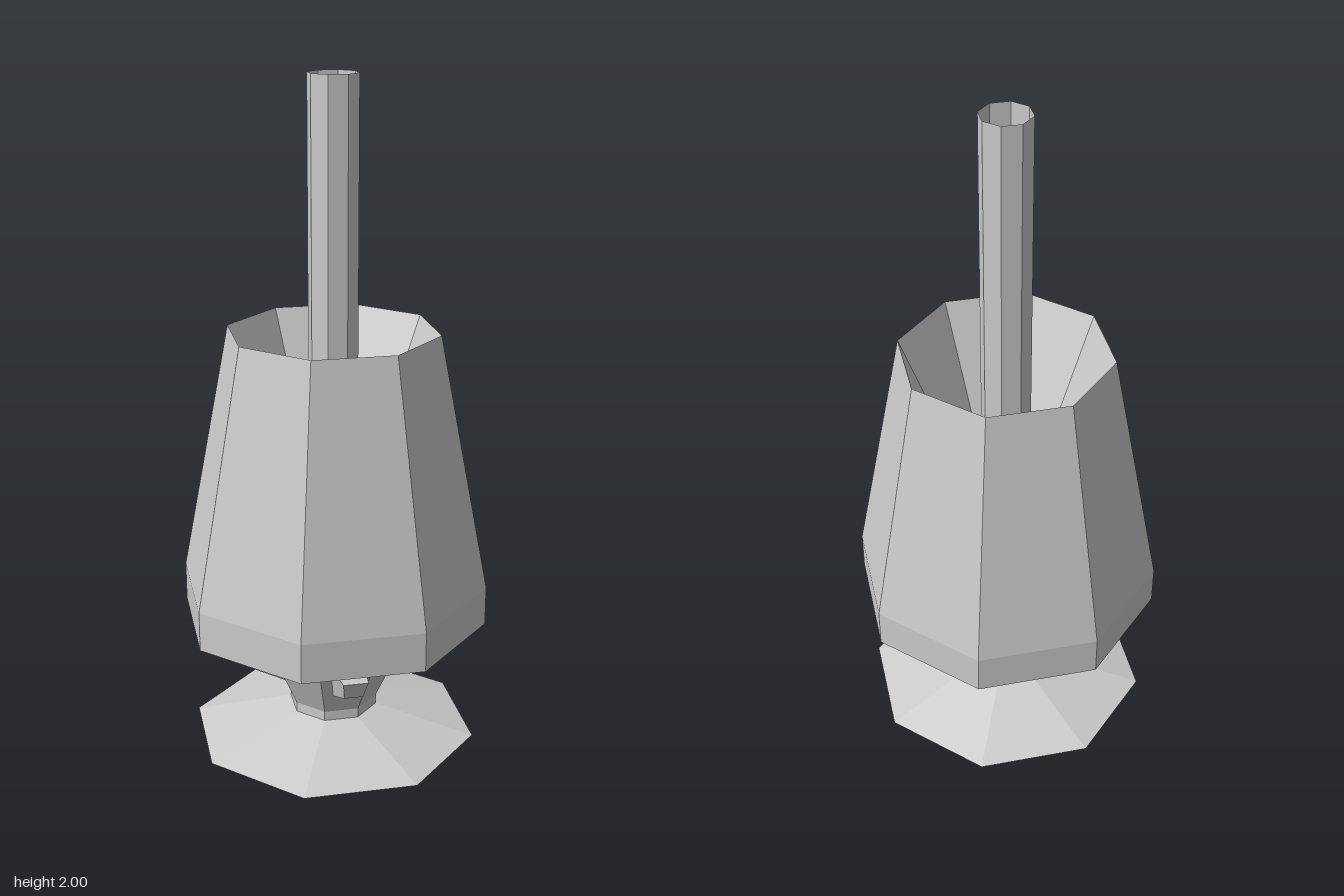
import * as THREE from 'three';

const SIDES = 8;
const material = new THREE.MeshStandardMaterial({
  color: 0xcccccc, flatShading: true, side: THREE.DoubleSide,
});

// Octagonal shell from [distance to flat, height] pairs, listed bottom to top, a flat facing +z
function octagonShell(name, profile) {
  const toCorner = 1 / Math.cos(Math.PI / SIDES);
  const points = profile.map(([r, y]) => new THREE.Vector2(r * toCorner, y));
  const mesh = new THREE.Mesh(new THREE.LatheGeometry(points, SIDES, Math.PI / SIDES), material);
  mesh.name = name;
  return mesh;
}

// Tapered fin pointing to +z: a box whose corners are moved to the root and tip sections
function finGeometry() {
  const geometry = new THREE.BoxGeometry(1, 1, 1);
  const p = geometry.attributes.position;
  const corners = {
    rootTop: [0.052, 0.31, 0.2], rootBottom: [0.031, 0.175, 0.148],
    tipTop: [0.037, 0.31, 0.33], tipBottom: [0.028, 0.25, 0.3],
  };
  for (let i = 0; i < p.count; i++) {
    const key = (p.getZ(i) > 0 ? 'tip' : 'root') + (p.getY(i) > 0 ? 'Top' : 'Bottom');
    const [halfWidth, y, z] = corners[key];
    p.setXYZ(i, Math.sign(p.getX(i)) * halfWidth, y, z);
  }
  geometry.computeVertexNormals();
  return geometry;
}

export function createModel() {
  const model = new THREE.Group();
  model.name = 'funnelStand';

  model.add(
    // Flared foot, open underneath
    octagonShell('base', [[0.405, 0], [0.125, 0.08]]),
    octagonShell('neck', [[0.125, 0.08], [0.125, 0.11], [0.227, 0.355]]),
    // Outer wall of the body
    octagonShell('body', [[0.227, 0.355], [0.43, 0.385], [0.43, 0.505], [0.29, 1.276]]),
    // Sunken top that runs down from the rim to the pipe
    octagonShell('funnel', [[0.29, 1.276], [0.068, 0.68]]),
    // Hollow pipe
    octagonShell('pipe', [[0.068, 0.68], [0.068, 2]]),
  );

  // Four fins around the neck
  const fins = new THREE.Group();
  fins.name = 'fins';
  const geometry = finGeometry();
  for (let i = 0; i < 4; i++) {
    const fin = new THREE.Mesh(geometry, material);
    fin.name = 'fin';
    fin.rotation.y = i * Math.PI / 2;
    fins.add(fin);
  }
  model.add(fins);

  return model;
}
